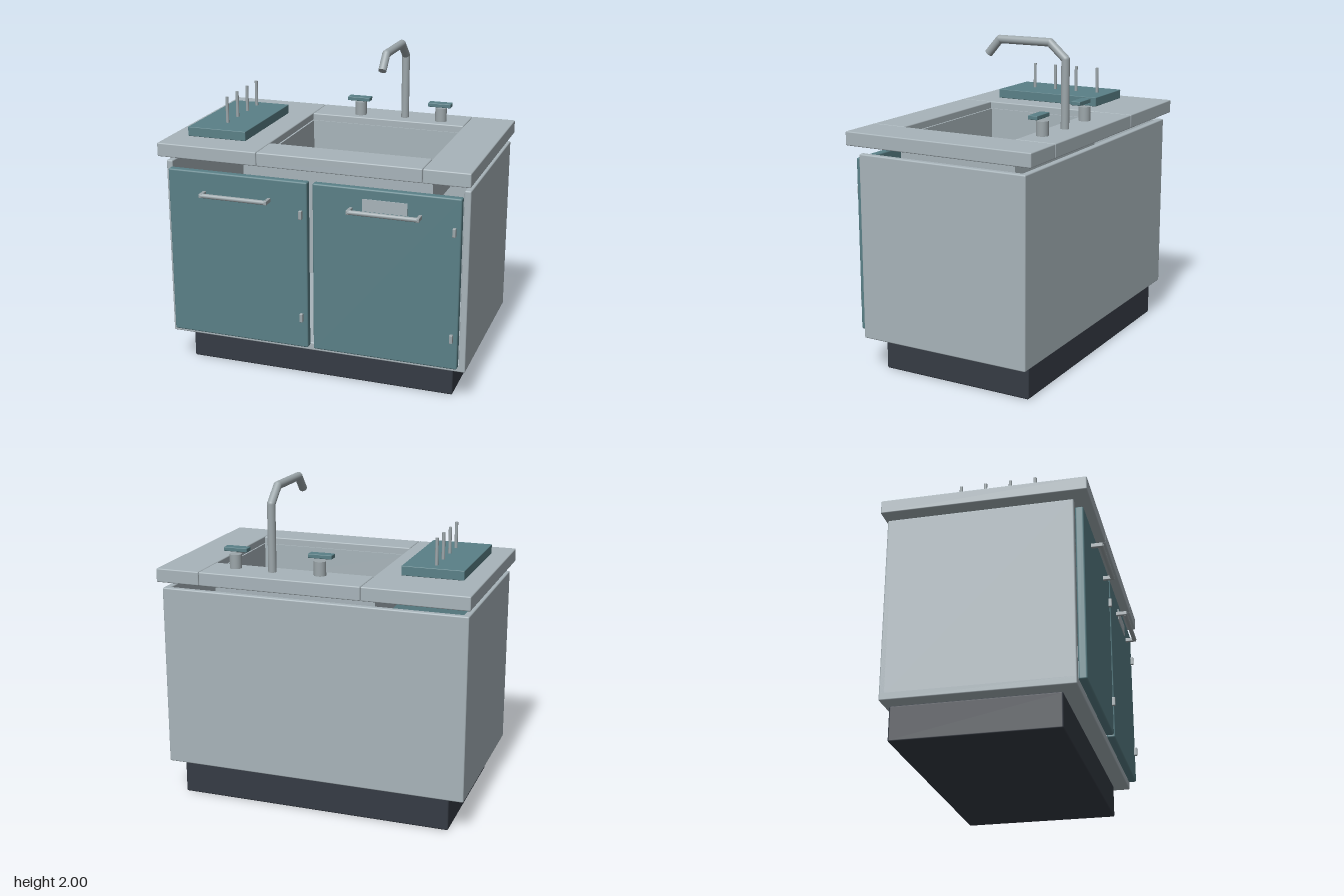
import * as THREE from 'three';
import { RoundedBoxGeometry } from 'three/addons/geometries/RoundedBoxGeometry.js';

const mat = (name, color) => {
  const m = new THREE.MeshStandardMaterial({ color });
  m.name = name;
  return m;
};

export function createModel() {
  const model = new THREE.Group();
  model.name = 'sinkCabinet';
  const steel = mat('pale steel', 0xa8b4ba);
  const metal = mat('fittings metal', 0x9ca6aa);
  const teal = mat('teal', 0x5a8087);
  const dark = mat('charcoal', 0x353b44);

  const add = (name, geometry, material, parent = model) => {
    const mesh = new THREE.Mesh(geometry, material);
    mesh.name = name;
    parent.add(mesh);
    return mesh;
  };
  // Box from its minimum and maximum on each axis, optionally with rounded edges
  const box = (name, [x0, x1], [y0, y1], [z0, z1], material, radius = 0, parent = model) => {
    const s = [x1 - x0, y1 - y0, z1 - z0];
    const g = radius ? new RoundedBoxGeometry(...s, 2, radius) : new THREE.BoxGeometry(...s);
    const mesh = add(name, g, material, parent);
    mesh.position.set((x0 + x1) / 2, (y0 + y1) / 2, (z0 + z1) / 2);
    return mesh;
  };
  // Cylinder between two points
  const rod = (name, a, b, r, material, parent = model) => {
    const p = new THREE.Vector3(...a), q = new THREE.Vector3(...b);
    const d = q.clone().sub(p);
    const mesh = add(name, new THREE.CylinderGeometry(r, r, d.length(), 24), material, parent);
    mesh.position.copy(p).add(q).multiplyScalar(0.5);
    mesh.quaternion.setFromUnitVectors(new THREE.Vector3(0, 1, 0), d.normalize());
    return mesh;
  };

  // Plinth
  box('plinth', [-0.86, 0.86], [0, 0.21], [-0.57, 0.415], dark, 0.01);

  // Cabinet shell, open at the front and top
  const cabinet = new THREE.Group();
  cabinet.name = 'cabinet';
  model.add(cabinet);
  box('cabinetFloor', [-0.955, 0.955], [0.208, 0.26], [-0.6, 0.51], steel, 0.008, cabinet);
  box('cabinetBack', [-0.955, 0.955], [0.208, 1.345], [-0.6, -0.56], steel, 0.008, cabinet);
  for (const s of [-1, 1]) {
    const x = [s * 0.955, s * 0.915].sort((a, b) => a - b);
    box('cabinetSide', x, [0.208, 1.345], [-0.6, 0.51], steel, 0.008, cabinet);
  }

  // Doors with hinges and bar handles
  const doors = [
    { x: [-0.92, -0.02], handle: [-0.68, -0.26], hinge: -0.058 },
    { x: [0.015, 0.915], handle: [0.255, 0.675], hinge: 0.878 },
  ];
  for (const d of doors) {
    const door = new THREE.Group();
    door.name = 'door';
    model.add(door);
    box('doorPanel', d.x, [0.245, 1.31], [0.51, 0.56], teal, 0.01, door);
    for (const y of [0.445, 1.108])
      box('hinge', [d.hinge - 0.01, d.hinge + 0.01], [y - 0.027, y + 0.027], [0.555, 0.58], metal, 0.004, door);
    rod('handleBar', [d.handle[0], 1.178, 0.618], [d.handle[1], 1.178, 0.618], 0.014, metal, door);
    for (const x of d.handle)
      box('handlePost', [x - 0.01, x + 0.01], [1.165, 1.191], [0.558, 0.63], metal, 0.004, door);
  }
  box('labelPlate', [0.325, 0.597], [1.175, 1.25], [0.558, 0.565], steel);

  // Worktop slabs framing the basin opening
  const top = [1.39, 1.475];
  box('worktopRight', [-0.972, -0.327], top, [-0.642, 0.592], steel, 0.007);
  box('worktopLeft', [0.69, 0.97], top, [-0.642, 0.592], steel, 0.007);
  box('worktopFront', [-0.325, 0.688], top, [0.372, 0.592], steel, 0.007);
  box('worktopBack', [-0.325, 0.688], top, [-0.642, -0.385], steel, 0.007);

  // Basin: floor and four walls
  const basin = new THREE.Group();
  basin.name = 'basin';
  model.add(basin);
  box('basinFloor', [-0.335, 0.7], [1.18, 1.2], [-0.39, 0.39], steel, 0, basin);
  for (const x of [[-0.335, -0.316], [0.68, 0.7]])
    box('basinSide', x, [1.2, 1.43], [-0.39, 0.39], steel, 0, basin);
  for (const z of [[-0.39, -0.376], [0.36, 0.39]])
    box('basinEnd', [-0.316, 0.68], [1.2, 1.43], z, steel, 0, basin);

  // Perforated drain cover
  const disc = new THREE.Shape().absarc(0, 0, 0.05, 0, Math.PI * 2, false);
  for (let i = 0; i < 8; i++) {
    const a = (i * Math.PI) / 4;
    disc.holes.push(new THREE.Path().absarc(0.034 * Math.cos(a), 0.034 * Math.sin(a), 0.005, 0, Math.PI * 2, true));
  }
  const drain = add('drain', new THREE.ExtrudeGeometry(disc, { depth: 0.009, bevelEnabled: false, curveSegments: 16 }), dark);
  drain.rotation.x = -Math.PI / 2;
  drain.position.set(0.182, 1.2, 0.002);

  // Angular faucet with rounded elbows
  const faucet = new THREE.Group();
  faucet.name = 'faucet';
  model.add(faucet);
  const path = [[1.475, -0.488], [1.885, -0.488], [1.977, -0.385], [1.977, -0.048], [1.888, 0.03]]
    .map(([y, z]) => [0.275, y, z]);
  for (let i = 1; i < path.length; i++) {
    rod('faucetPipe', path[i - 1], path[i], 0.025, metal, faucet);
    if (i < path.length - 1)
      add('faucetElbow', new THREE.SphereGeometry(0.025, 20, 12), metal, faucet).position.set(...path[i]);
  }

  // Taps
  for (const x of [-0.02, 0.52]) {
    rod('tapStem', [x, 1.47, -0.469], [x, 1.562, -0.469], 0.037, metal);
    box('tapLever', [x - 0.075, x + 0.075], [1.575, 1.6], [-0.475, -0.414], teal, 0.004);
  }

  // Drying board with pegs
  box('dryingBoard', [-0.856, -0.475], [1.477, 1.536], [-0.325, 0.397], teal, 0.004);
  for (const z of [-0.24, -0.086, 0.07, 0.225])
    rod('peg', [-0.666, 1.52, z], [-0.666, 1.7, z], 0.01, metal);

  return model;
}
